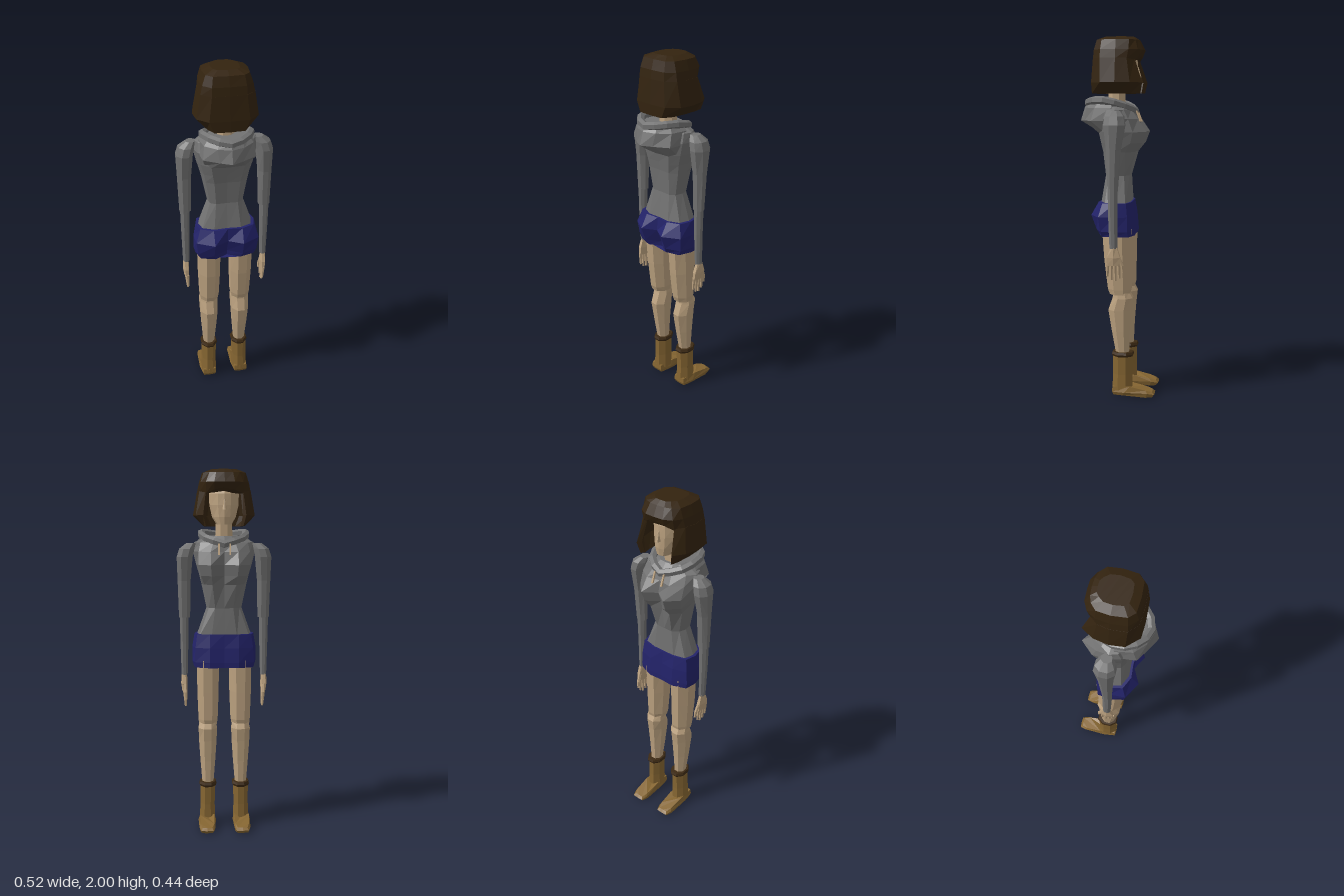
import * as THREE from 'three';

const paint = (name, color) => {
  const m = new THREE.MeshStandardMaterial({ color });
  m.name = name;
  return m;
};

export function createModel() {
  const model = new THREE.Group();
  model.name = 'standingFigure';
  const hair = paint('darkBrownHair', 0x33230f);
  const grey = paint('greyCloth', 0x727272);
  const blue = paint('navyCloth', 0x23236a);
  const skin = paint('skin', 0xbba17f);
  const tan = paint('tanLeather', 0x866632);
  const trim = paint('darkTrim', 0x3d2a14);

  const add = (name, geo, mat) => {
    const flat = geo.index ? geo.toNonIndexed() : geo;
    flat.computeVertexNormals();
    const mesh = new THREE.Mesh(flat, mat);
    mesh.name = name;
    model.add(mesh);
    return mesh;
  };

  // Skin over rings listed bottom to top, closed at both ends; side -1 mirrors x
  const loft = (name, mat, rings, side = 1) => {
    const n = rings[0].length, pos = [], idx = [];
    const tri = (a, b, c) => idx.push(...(side > 0 ? [a, b, c] : [a, c, b]));
    rings.forEach(r => r.forEach(([x, y, z]) => pos.push(x * side, y, z)));
    for (let k = 0; k < rings.length - 1; k++) for (let i = 0; i < n; i++) {
      const a = k * n + i, b = k * n + (i + 1) % n;
      tri(a, b, b + n);
      tri(a, b + n, a + n);
    }
    const top = (rings.length - 1) * n;
    for (let i = 0; i < n / 2 - 1; i++) {
      const j = n - 1 - i;
      tri(top + i, top + i + 1, top + j - 1);
      tri(top + i, top + j - 1, top + j);
      tri(i, j - 1, i + 1);
      tri(i, j, j - 1);
    }
    const g = new THREE.BufferGeometry();
    g.setAttribute('position', new THREE.Float32BufferAttribute(pos, 3));
    g.setIndex(idx);
    return add(name, g, mat);
  };

  // Symmetric ring from [x, z, (y)] points running back centre to front centre
  const sym = (y, half, cx = 0) => {
    const p = half.map(([x, z, h]) => [x, h ?? y, z]);
    const q = p.slice(1, -1).reverse().map(([x, h, z]) => [-x, h, z]);
    return [...p, ...q].map(([x, h, z]) => [x + cx, h, z]);
  };

  // Faceted limb from [y, cx, cz, rx, rz] sections
  const limb = (name, mat, sections, side = 1, n = 8) => loft(name, mat,
    sections.map(([y, cx, cz, rx, rz]) => Array.from({ length: n }, (_, i) => {
      const a = (i + 0.5) / n * Math.PI * 2, k = 1 / Math.cos(Math.PI / n);
      return [cx + rx * k * Math.sin(a), y, cz + rz * k * Math.cos(a)];
    })), side);

  // Hoodie body
  loft('hoodieBody', grey, [
    sym(1.09, [[0, .085], [.075, .09], [.14, .06], [.155, 0], [.14, -.055], [.07, -.072], [0, -.072]]),
    sym(1.25, [[0, .063], [.06, .065], [.09, .045], [.098, 0], [.085, -.04], [.05, -.065], [0, -.065]]),
    sym(1.38, [[0, .075], [.07, .078], [.113, .05], [.125, 0], [.11, -.05], [.065, -.1], [0, -.08]]),
    sym(1.43, [[0, .085], [.08, .088], [.122, .055], [.137, 0], [.128, -.08], [.07, -.14], [0, -.09]]),
    sym(1.49, [[0, .1], [.09, .1], [.14, .06], [.155, 0], [.14, -.095], [.075, -.163], [0, -.11]]),
    sym(1.56, [[0, .105], [.1, .1], [.155, .06], [.172, 0], [.14, -.07], [.075, -.115], [0, -.1]]),
    sym(1.61, [[0, .09], [.09, .085], [.15, .045], [.165, 0], [.13, -.045], [.06, -.075], [0, -.08]]),
    sym(1.645, [[0, .07], [.05, .065], [.07, .04], [.08, .01], [.07, -.02], [.04, -.045], [0, -.05]]),
  ]);

  // Hood lying on the back, with its rolled rim
  loft('hoodBag', grey, [
    sym(1.485, [[0, .11], [.09, .1], [.12, .06], [.08, .02], [0, .02]]),
    sym(1.55, [[0, .217], [.06, .185], [.14, .135], [.15, .03], [0, 0]]),
    sym(1.62, [[0, .195], [.07, .17], [.13, .115], [.145, .02], [0, 0]]),
    sym(1.645, [[0, .18], [.06, .155], [.11, .1], [.12, .02], [0, 0]]),
  ]);
  const rimPath = new THREE.CatmullRomCurve3(
    sym(0, [[0, .175, 1.645], [.08, .14, 1.658], [.125, .06, 1.66], [.105, -.03, 1.635], [.05, -.075, 1.615], [0, -.09, 1.6]])
      .map(p => new THREE.Vector3(...p)), true);
  add('hoodRim', new THREE.TubeGeometry(rimPath, 14, .022, 6, true), grey);

  // Shorts
  loft('shorts', blue, [
    sym(.92, [[0, .06], [.07, .1], [.15, .075], [.17, 0], [.16, -.07], [.08, -.1], [0, -.095]]),
    sym(.95, [[0, .065], [.08, .115], [.165, .08], [.178, 0], [.165, -.07], [.08, -.1], [0, -.095]]),
    sym(1.03, [[0, .1], [.08, .145], [.175, .09], [.178, 0], [.16, -.068], [.08, -.093], [0, -.088]]),
    sym(1.105, [[0, .095], [.08, .102], [.15, .07], [.165, 0], [.15, -.06], [.08, -.08], [0, -.08]]),
  ]);

  // Neck, head and nose
  limb('neck', skin, [[1.58, 0, .015, .05, .048], [1.76, 0, .01, .042, .042]]);
  loft('head', skin, [
    sym(1.705, [[0, .03], [.03, .02], [.04, -.03], [.035, -.075], [.02, -.095], [0, -.1]]),
    sym(1.745, [[0, .075], [.045, .06], [.065, 0], [.058, -.06], [.03, -.098], [0, -.106]]),
    sym(1.81, [[0, .1], [.06, .085], [.08, 0], [.07, -.06], [.035, -.098], [0, -.106]]),
    sym(1.87, [[0, .1], [.06, .085], [.082, 0], [.07, -.06], [.035, -.095], [0, -.102]]),
    sym(1.95, [[0, .07], [.04, .06], [.06, 0], [.05, -.04], [.025, -.065], [0, -.07]]),
  ]);
  loft('nose', skin, [
    sym(1.785, [[0, -.08], [.013, -.1], [.006, -.121], [0, -.123]]),
    sym(1.84, [[0, -.08], [.005, -.1], [.003, -.105], [0, -.107]]),
  ]);

  // Hair: crown with fringe, then a curtain open at the face
  loft('hairCrown', hair, [
    sym(1.88, [[0, .135], [.09, .13], [.14, .085], [.147, 0], [.135, -.06], [.1, -.1, 1.87], [.055, -.122, 1.89], [0, -.125, 1.9]]),
    sym(1.93, [[0, .13], [.088, .125], [.13, .083], [.137, 0], [.128, -.07], [.1, -.115], [.055, -.138], [0, -.14]]),
    sym(1.982, [[0, .115], [.08, .11], [.112, .078], [.12, 0], [.112, -.07], [.08, -.1], [.045, -.112], [0, -.115]]),
    sym(2, [[0, .075], [.05, .07], [.068, .05], [.075, 0], [.07, -.045], [.05, -.07], [.03, -.085], [0, -.087]]),
  ]);
  const curtain = (y, half, k) => {
    const right = half.map(([x, z]) => [x, y, z]);
    const left = right.slice(1).reverse().map(([x, h, z]) => [-x, h, z]);
    const outer = [...left, ...right];
    return [...outer, ...outer.map(([x, h, z]) => [x * k, h, z * k]).reverse()];
  };
  loft('hairCurtain', hair, [
    curtain(1.697, [[0, .142], [.08, .138], [.108, .08], [.113, 0], [.11, -.08], [.1, -.13]], .86),
    curtain(1.755, [[0, .143], [.105, .138], [.162, .08], [.17, 0], [.155, -.08], [.115, -.142]], .85),
    curtain(1.885, [[0, .135], [.09, .13], [.14, .085], [.147, 0], [.135, -.06], [.1, -.098]], .85),
  ]);

  for (const side of [1, -1]) {
    const s = side > 0 ? 'left' : 'right';

    // Sleeves
    limb(s + 'UpperSleeve', grey, [
      [1.195, .22, 0, .031, .027], [1.4, .221, -.004, .036, .038], [1.53, .217, -.008, .044, .057],
      [1.575, .205, -.008, .042, .05], [1.605, .182, -.006, .026, .028]], side);
    limb(s + 'LowerSleeve', grey, [
      [.87, .222, -.004, .017, .021], [1.05, .222, 0, .022, .024], [1.2, .222, 0, .025, .026]], side);

    // Hand with four fingers and a thumb
    limb(s + 'Palm', skin, [
      [.775, .222, -.003, .012, .036], [.82, .224, -.005, .016, .036], [.88, .224, -.006, .013, .016]], side, 6);
    [-.031, -.011, .009, .028].forEach((z, i) => limb(s + 'Finger' + (i + 1), skin, [
      [[.705, .69, .695, .715][i], .217, z * 1.1, .005, .006], [.785, .222, z, .009, .009]], side, 6));
    limb(s + 'Thumb', skin, [
      [.735, .214, -.055, .006, .006], [.775, .217, -.05, .009, .009], [.83, .222, -.026, .009, .011]], side, 6);

    // Thigh and calf
    limb(s + 'Thigh', skin, [
      [.59, .092, -.02, .05, .055], [.62, .091, -.018, .054, .064],
      [.78, .091, -.01, .06, .075], [.96, .091, -.005, .062, .083]], side);
    limb(s + 'Calf', skin, [
      [.23, .093, -.035, .03, .034], [.38, .093, -.025, .042, .05], [.5, .093, -.02, .05, .064],
      [.57, .093, -.036, .052, .056], [.605, .092, -.03, .046, .044]], side);

    // Boot: shaft, foot and dark cuff
    limb(s + 'BootShaft', tan, [
      [.04, .096, -.034, .044, .056], [.13, .095, -.035, .04, .052], [.24, .093, -.035, .042, .054]], side);
    limb(s + 'BootCuff', trim, [
      [.233, .093, -.036, .043, .056], [.245, .093, -.036, .048, .061], [.258, .093, -.036, .043, .056]], side);
    loft(s + 'BootFoot', tan, [
      sym(.005, [[0, .015, .012], [.035, .012, .012], [.042, -.04, .012], [.04, -.17], [.03, -.205], [0, -.207]], .098),
      sym(.03, [[0, .024], [.04, .02], [.05, -.05], [.045, -.18], [.034, -.218, .022], [0, -.22, .022]], .098),
      sym(.06, [[0, .022], [.036, .018], [.042, -.08, .065], [.038, -.17, .046], [.027, -.205, .036], [0, -.207, .037]], .098),
    ], side);

    // Drawstring
    limb(s + 'Drawstring', skin, [
      [1.545, .03, -.122, .005, .005], [1.605, .03, -.1, .004, .004]], side, 4);
  }
  return model;
}
